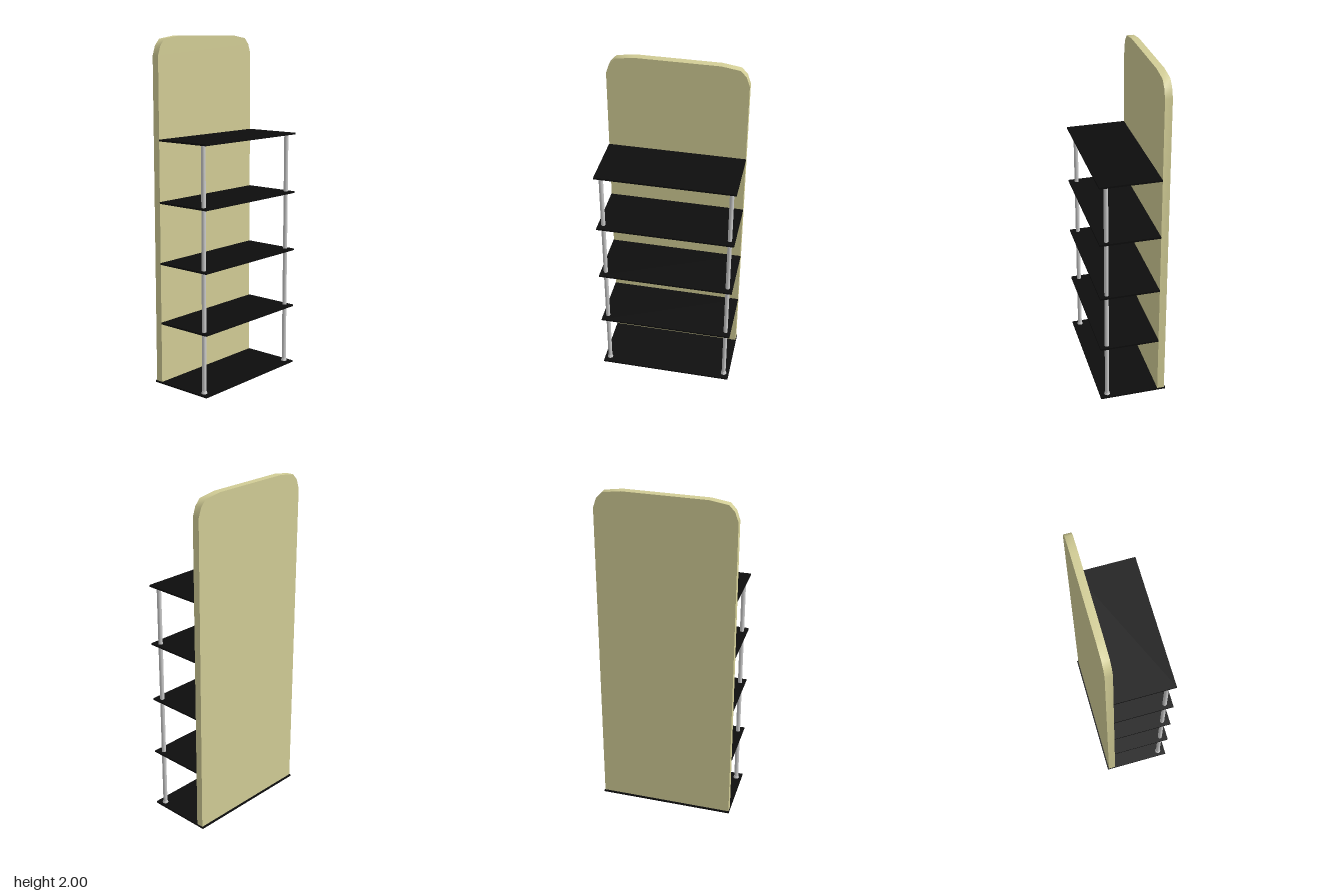
import * as THREE from 'three';
import { toCreasedNormals } from 'three/addons/utils/BufferGeometryUtils.js';

const T = 0.01; // shelf thickness
const STEP = 0.3535; // shelf spacing

export function createModel() {
  const group = new THREE.Group();
  const panelMat = new THREE.MeshStandardMaterial({ color: 0xd2cd96 });
  const shelfMat = new THREE.MeshStandardMaterial({ color: 0x0d0d0d });
  const postMat = new THREE.MeshStandardMaterial({ color: 0xcccccc });

  const add = (name, geometry, material, x, y, z) => {
    const mesh = new THREE.Mesh(geometry, material);
    mesh.name = name;
    mesh.position.set(x, y, z);
    group.add(mesh);
  };

  // Back panel with faceted, rounded top corners
  const corner = [[0.397, T], [0.397, 1.893], [0.378, 1.948], [0.345, 1.984], [0.24, 2]];
  const outline = [...corner, ...corner.map(([x, y]) => [-x, y]).reverse()];
  const shape = new THREE.Shape(outline.map(([x, y]) => new THREE.Vector2(x, y)));
  const panel = new THREE.ExtrudeGeometry(shape, { depth: 0.042, bevelEnabled: false });
  add('backPanel', toCreasedNormals(panel, 0.7), panelMat, 0, 0, -0.192);

  // Base plate runs under the panel
  add('basePlate', new THREE.BoxGeometry(0.8, T, 0.4), shelfMat, 0, T / 2, 0);

  // Shelves stop at the panel face
  for (let i = 1; i <= 4; i++) {
    add(`shelf${i}`, new THREE.BoxGeometry(0.797, T, 0.35), shelfMat, 0, i * STEP + 0.012, 0.025);
  }

  // Front posts, each with a small foot collar
  const top = 4 * STEP + 0.012 - T / 2;
  for (const [side, x] of [['left', 0.368], ['right', -0.368]]) {
    add(`${side}Post`, new THREE.CylinderGeometry(0.0125, 0.0125, top - T, 24), postMat, x, (top + T) / 2, 0.156);
    add(`${side}PostFoot`, new THREE.CylinderGeometry(0.0135, 0.0175, 0.014, 24), postMat, x, T + 0.007, 0.156);
  }
  return group;
}
